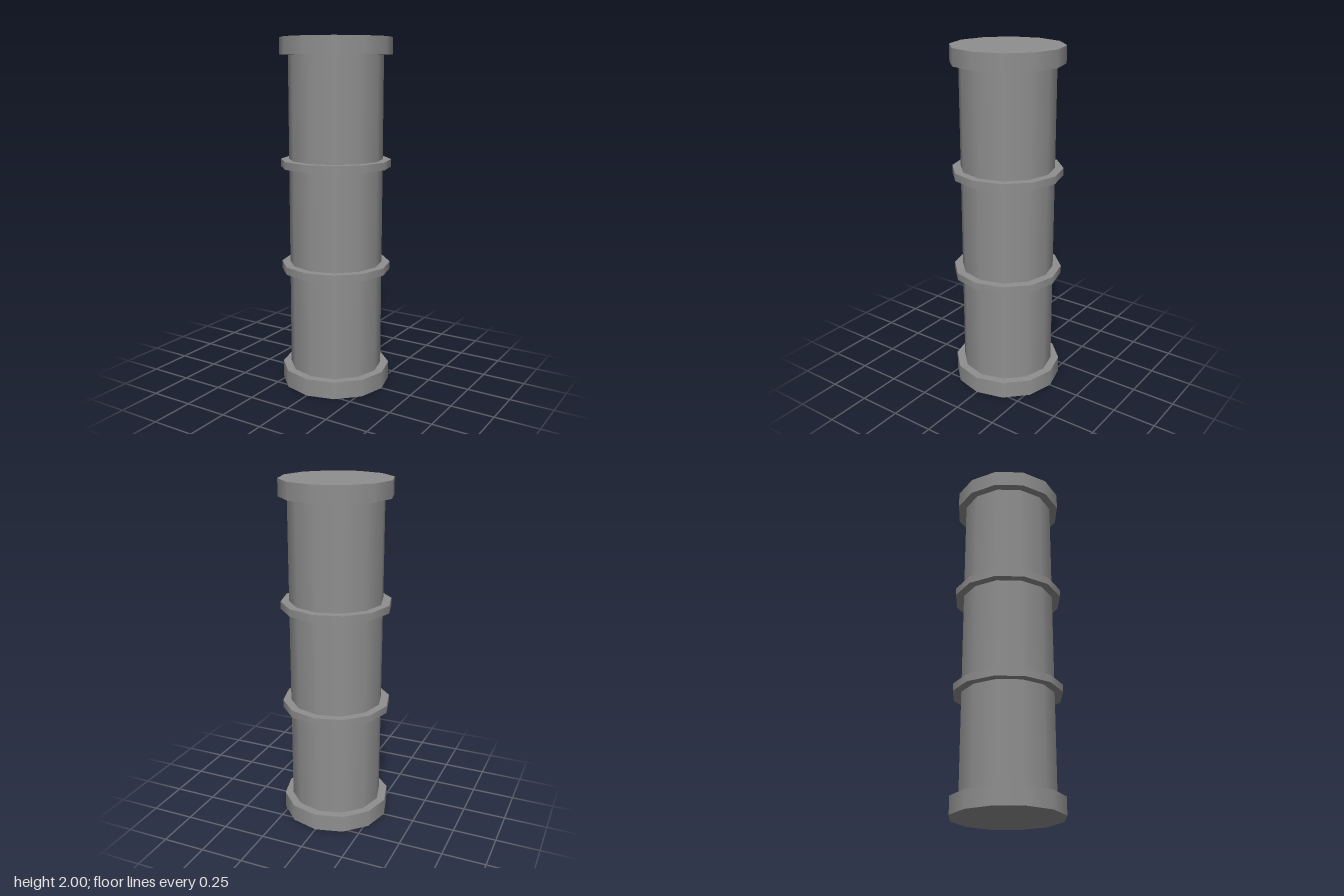
import * as THREE from 'three';

const SIDES = 12;

export function createModel() {
  const model = new THREE.Group();
  model.name = 'pillar';
  const stone = new THREE.MeshStandardMaterial({ color: 0x8f8f8f });
  stone.name = 'grey';

  // Upright twelve-sided drum between two heights, smooth around its side
  const drum = (name, radius, bottom, top, open = false) => {
    const geometry = new THREE.CylinderGeometry(radius, radius, top - bottom, SIDES, 1, open);
    const mesh = new THREE.Mesh(geometry, stone);
    mesh.name = name;
    mesh.position.y = (bottom + top) / 2;
    model.add(mesh);
  };

  // Shaft, its ends hidden inside the base and cap
  drum('shaft', 0.267, 0.05, 1.95, true);

  // Thick base and cap
  drum('base', 0.315, 0, 0.1);
  drum('cap', 0.315, 1.905, 2);

  // Thin bands around the shaft
  drum('lowerBand', 0.315, 0.68, 0.723);
  drum('upperBand', 0.315, 1.281, 1.324);

  return model;
}
